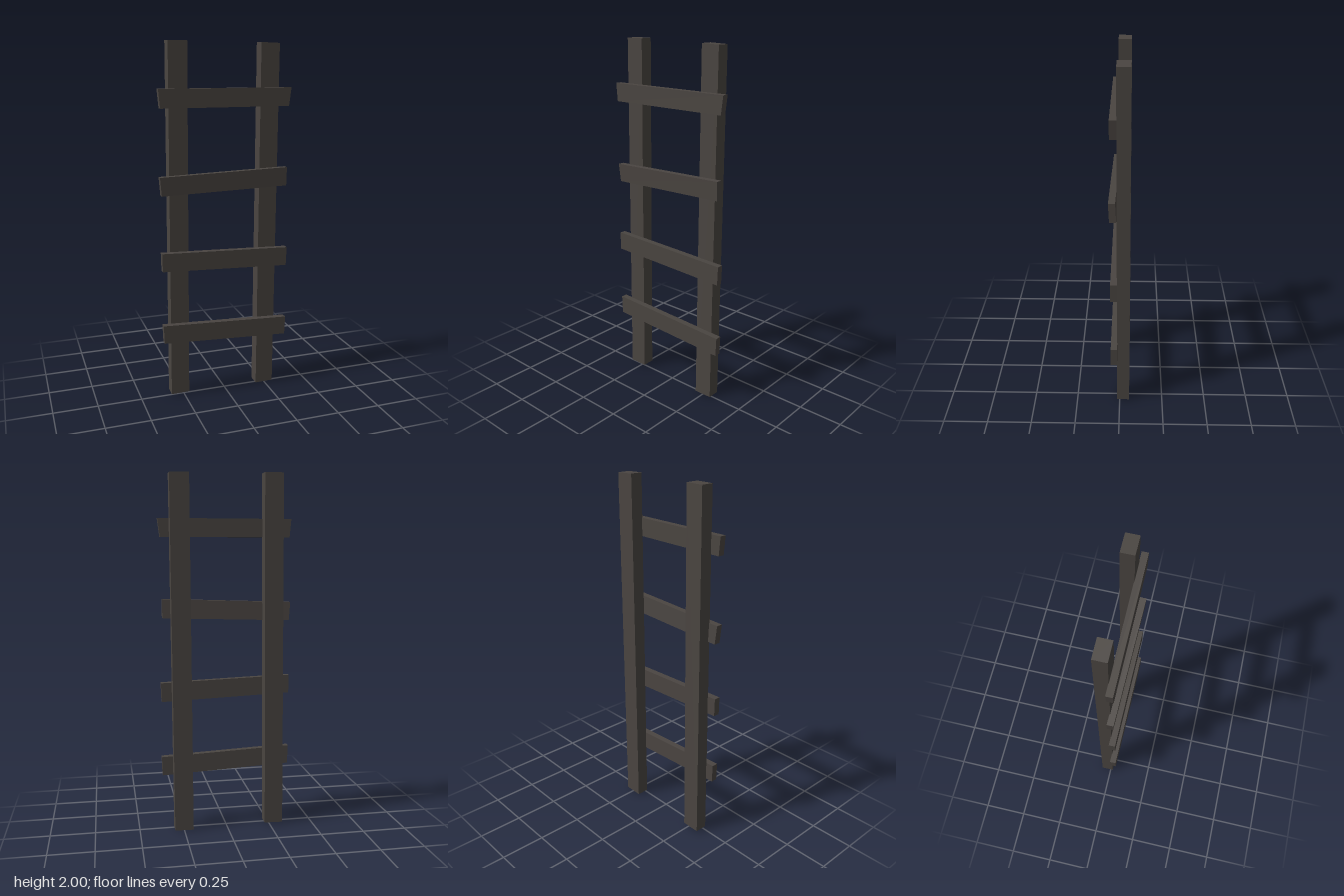
import * as THREE from 'three';

const wood = new THREE.MeshStandardMaterial({ color: 0x4a4541, flatShading: true });

// A plank: four front corners (counter-clockwise from lower left) extruded from zBack to zFront,
// optionally skewed in depth along its length and height
function plank(name, corners, zBack, zFront, skewX = 0, skewY = 0) {
  const shape = new THREE.Shape(corners.map(([x, y]) => new THREE.Vector2(x, y)));
  const geometry = new THREE.ExtrudeGeometry(shape, { depth: zFront - zBack, bevelEnabled: false });
  geometry.translate(0, 0, zBack);
  const midY = corners.reduce((sum, c) => sum + c[1], 0) / 4;
  const p = geometry.attributes.position;
  for (let i = 0; i < p.count; i++) {
    p.setZ(i, p.getZ(i) + skewX * p.getX(i) + skewY * (p.getY(i) - midY));
  }
  geometry.computeVertexNormals();
  const mesh = new THREE.Mesh(geometry, wood);
  mesh.name = name;
  return mesh;
}

export function createModel() {
  const ladder = new THREE.Group();
  ladder.name = 'ladder';

  // Two uprights, leaning slightly sideways
  ladder.add(plank('rightRail', [[-0.325, 0.01], [-0.22, 0.012], [-0.206, 2], [-0.311, 2]], -0.056, 0.015));
  ladder.add(plank('leftRail', [[0.197, 0], [0.302, 0.002], [0.315, 1.99], [0.208, 1.994]], -0.056, 0.015));

  // Four uneven rungs nailed to the front, bottom to top
  const rungs = [
    { corners: [[-0.368, 0.345], [0.363, 0.31], [0.367, 0.417], [-0.372, 0.45]] },
    { corners: [[-0.37, 0.767], [0.363, 0.738], [0.367, 0.845], [-0.372, 0.87]] },
    { corners: [[-0.365, 1.188], [0.354, 1.21], [0.354, 1.315], [-0.374, 1.291]], skewX: 0.014, skewY: 0.05 },
    { corners: [[-0.366, 1.654], [0.362, 1.654], [0.375, 1.755], [-0.375, 1.755]] },
  ];
  rungs.forEach(({ corners, skewX, skewY }, i) => {
    ladder.add(plank(`rung${i + 1}`, corners, 0.013, 0.049, skewX, skewY));
  });
  return ladder;
}
